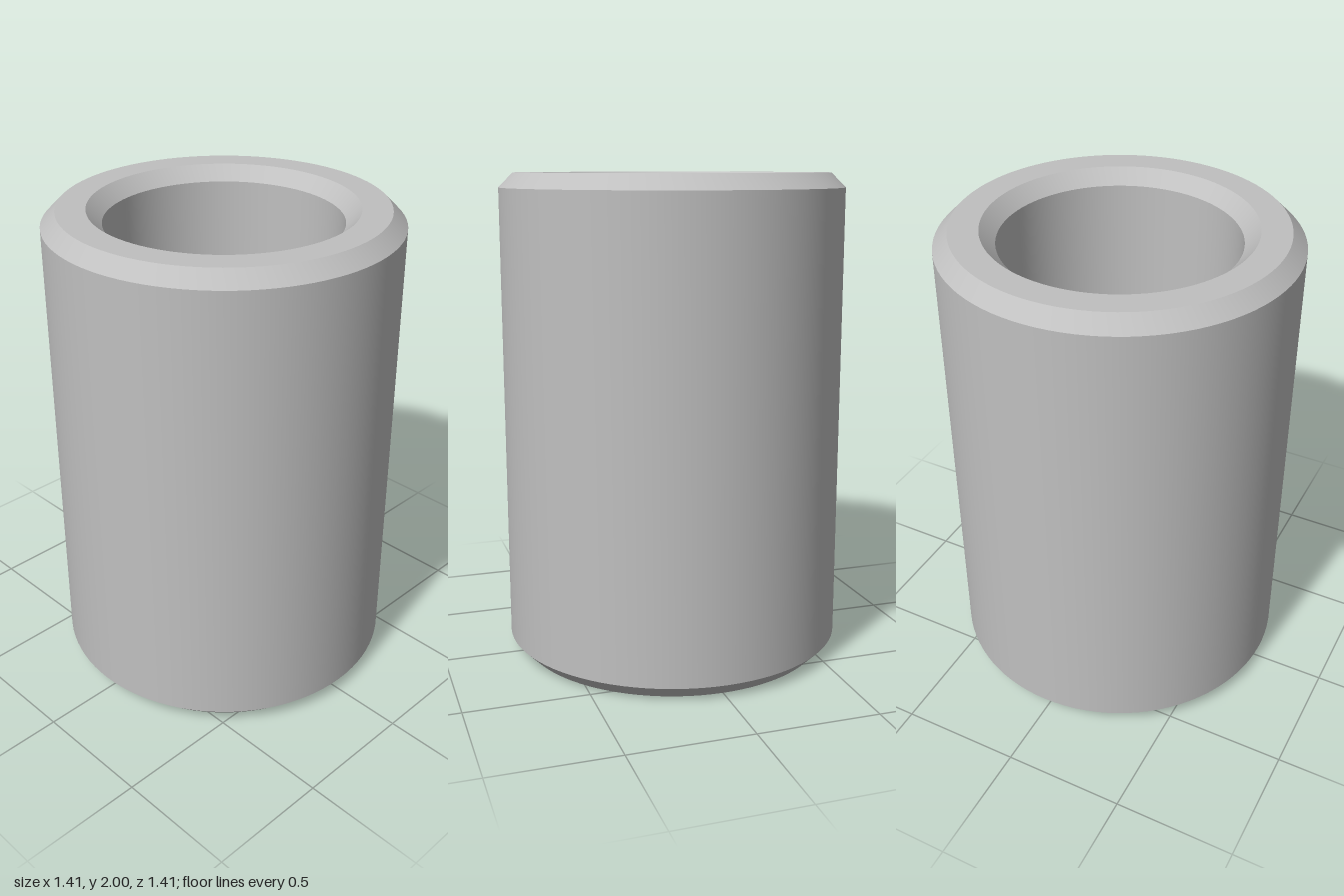
import * as THREE from 'three';
import { toCreasedNormals } from 'three/addons/utils/BufferGeometryUtils.js';

const HEIGHT = 2;
const UNIT = HEIGHT / 34;
const OUTER = 12 * UNIT;
const INNER = 8 * UNIT;
const CHAMFER = UNIT;

export function createModel() {
  const group = new THREE.Group();
  group.name = 'bushing';

  const steel = new THREE.MeshStandardMaterial({ color: 0xc0c0c0 });
  steel.name = 'light grey metal';

  // Closed wall section, up the outside and down the bore, chamfered at all four rims
  const section = [
    [OUTER - CHAMFER, 0],
    [OUTER, CHAMFER],
    [OUTER, HEIGHT - CHAMFER],
    [OUTER - CHAMFER, HEIGHT],
    [INNER + CHAMFER, HEIGHT],
    [INNER, HEIGHT - CHAMFER],
    [INNER, CHAMFER],
    [INNER + CHAMFER, 0],
    [OUTER - CHAMFER, 0],
  ].map(([r, y]) => new THREE.Vector2(r, y));

  // Smooth around the axis, sharp at the chamfer edges
  const geometry = toCreasedNormals(new THREE.LatheGeometry(section, 96), Math.PI / 6);
  const sleeve = new THREE.Mesh(geometry, steel);
  sleeve.name = 'sleeve';
  group.add(sleeve);

  return group;
}
